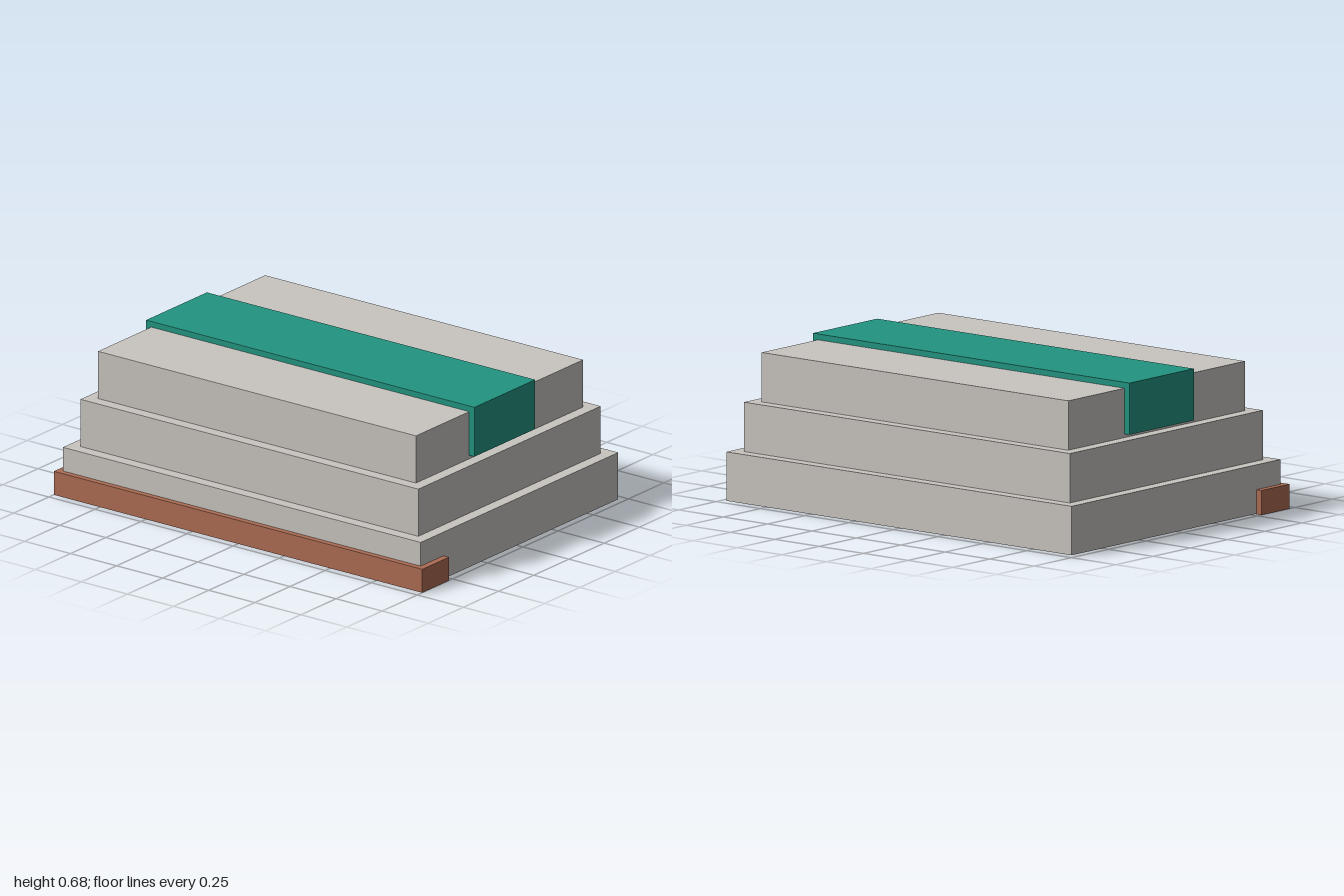
import * as THREE from 'three';

const material = (name, color) => {
  const m = new THREE.MeshStandardMaterial({ color });
  m.name = name;
  return m;
};

// Box symmetric in x, given its half width and its y and z ranges
function block(name, mat, halfWidth, [y0, y1], [z0, z1]) {
  const mesh = new THREE.Mesh(new THREE.BoxGeometry(halfWidth * 2, y1 - y0, z1 - z0), mat);
  mesh.position.set(0, (y0 + y1) / 2, (z0 + z1) / 2);
  mesh.name = name;
  return mesh;
}

export function createModel() {
  const stone = material('pale stone', 0xc9c5c0);
  const teal = material('teal', 0x229480);
  const clay = material('terracotta', 0xad6d54);
  const model = new THREE.Group();
  model.name = 'steppedBlock';

  // Three stacked tiers, each inset from the one below; the lowest sits
  // a hair above the ground so its underside does not clash with the front step
  const tierHeight = 0.217, inset = 0.054;
  ['lowerTier', 'middleTier', 'upperTier'].forEach((name, i) => {
    const y0 = i === 0 ? 0.002 : i * tierHeight;
    model.add(block(name, stone, 0.971 - i * inset,
      [y0, (i + 1) * tierHeight], [-0.715 + i * inset, 0.688 - i * inset]));
  });

  // Band wrapped across the top tier and down its ends
  model.add(block('topBand', teal, 0.891, [0.45, 0.677], [-0.23, 0.202]));

  // Low step along the front
  model.add(block('frontStep', clay, 1, [0, 0.108], [0.526, 0.715]));

  return model;
}
